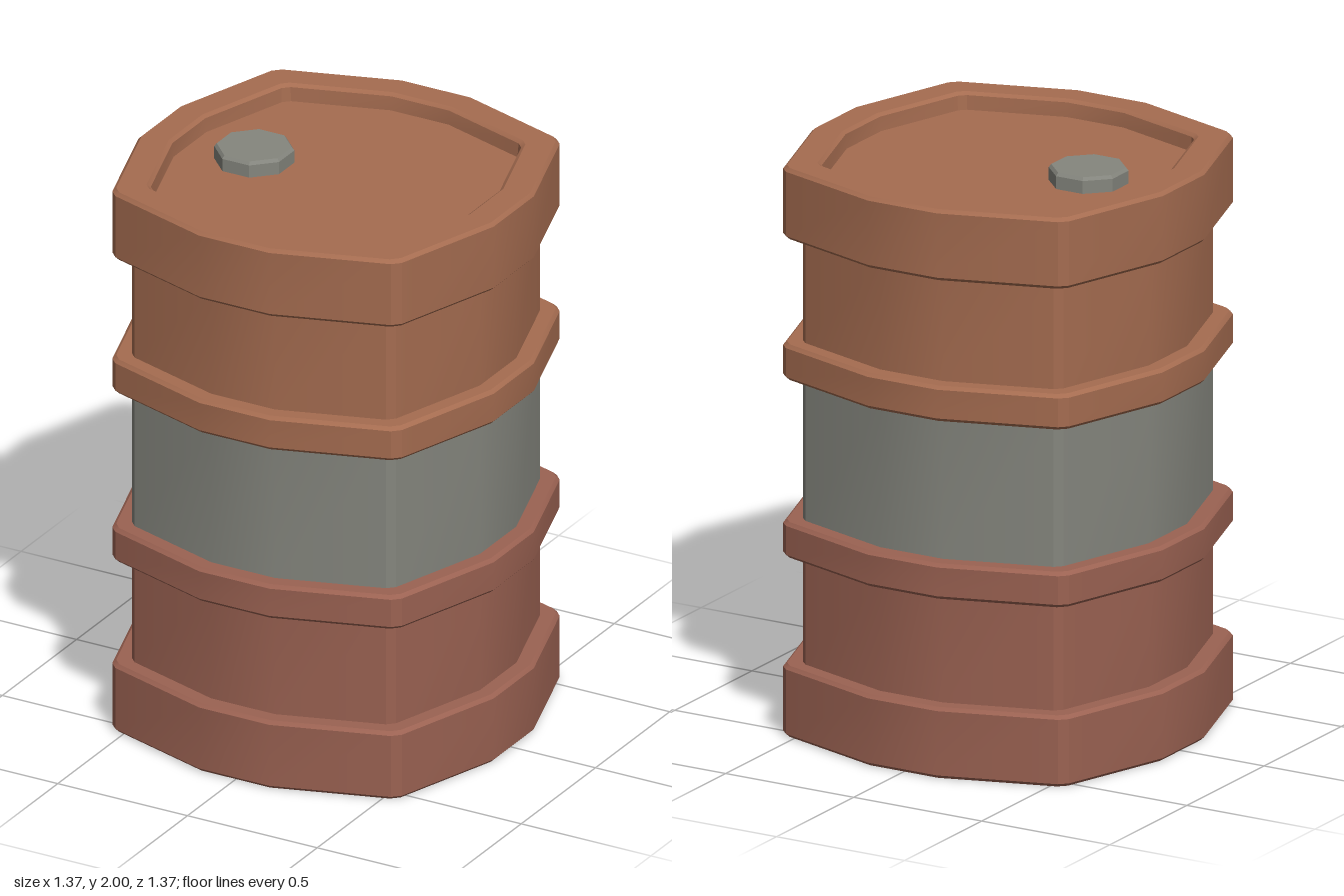
import * as THREE from 'three';
import { toCreasedNormals } from 'three/addons/utils/BufferGeometryUtils.js';

// Faceted drum cross-section (half width 1): one quarter, turned four times
const quarter = [[0.197, 1], [0.775, 0.815], [0.815, 0.775], [1, 0.197]];
const drumOutline = [];
for (let q = 0; q < 4; q++) {
  for (const p of quarter) {
    let [x, z] = p;
    for (let k = 0; k < q; k++) [x, z] = [z, -x];
    drumOutline.push([x, z]);
  }
}

// Octagon with its flats on the axes
const octagon = [];
for (let i = 0; i < 8; i++) {
  const a = (i + 0.5) * Math.PI / 4, r = 1 / Math.cos(Math.PI / 8);
  octagon.push([Math.sin(a) * r, Math.cos(a) * r]);
}

// Sweeps a profile of [half width, height] around an outline
function loft(outline, profile) {
  const pos = [], n = outline.length;
  const at = (i, k) => {
    const [x, z] = outline[i % n], [s, y] = profile[k];
    return [x * s, y, z * s];
  };
  for (let k = 0; k < profile.length - 1; k++) {
    for (let i = 0; i < n; i++) {
      const a = at(i, k), b = at(i + 1, k), c = at(i + 1, k + 1), d = at(i, k + 1);
      if (profile[k][0] > 0) pos.push(...a, ...b, ...c);
      if (profile[k + 1][0] > 0) pos.push(...a, ...c, ...d);
      else if (profile[k][0] === 0) continue;
    }
  }
  const g = new THREE.BufferGeometry();
  g.setAttribute('position', new THREE.Float32BufferAttribute(pos, 3));
  return toCreasedNormals(g, 0.42);
}

export function createModel() {
  const group = new THREE.Group();
  const rust = new THREE.MeshStandardMaterial({ color: 0xa56c50 });
  const darkRust = new THREE.MeshStandardMaterial({ color: 0x9b6252 });
  const grey = new THREE.MeshStandardMaterial({ color: 0x85867e });

  const add = (name, outline, profile, material) => {
    const mesh = new THREE.Mesh(loft(outline, profile), material);
    mesh.name = name;
    group.add(mesh);
    return mesh;
  };

  const R = 0.685, W = 0.625, e = 0.012;
  // Bevelled band standing out from the wall
  const band = (y0, y1) => [
    [W, y0], [R - e, y0], [R, y0 + e], [R, y1 - e], [R - e, y1], [W, y1],
  ];

  // Base with closed underside
  add('base', drumOutline, [[0, 0], ...band(0, 0.25)], darkRust);

  // Walls between the bands
  add('lowerWall', drumOutline, [[W, 0.25], [W, 0.63]], darkRust);
  add('middleWall', drumOutline, [[W, 0.755], [W, 1.255]], grey);
  add('upperWall', drumOutline, [[W, 1.38], [W, 1.75]], rust);

  // Raised hoops
  add('lowerHoop', drumOutline, band(0.63, 0.755), darkRust);
  add('upperHoop', drumOutline, band(1.255, 1.38), rust);

  // Top rim with sunken lid
  add('rimAndLid', drumOutline, [
    [W, 1.75], [R - e, 1.75], [R, 1.75 + e], [R, 2 - e], [R - e, 2],
    [0.58, 2], [0.567, 1.99], [0.563, 1.94], [0, 1.94],
  ], rust);

  // Filler cap on the lid
  const cap = add('fillerCap', octagon, [
    [0.125, 1.935], [0.125, 1.985], [0.117, 1.996], [0, 1.996],
  ], grey);
  cap.position.x = -0.315;

  return group;
}
